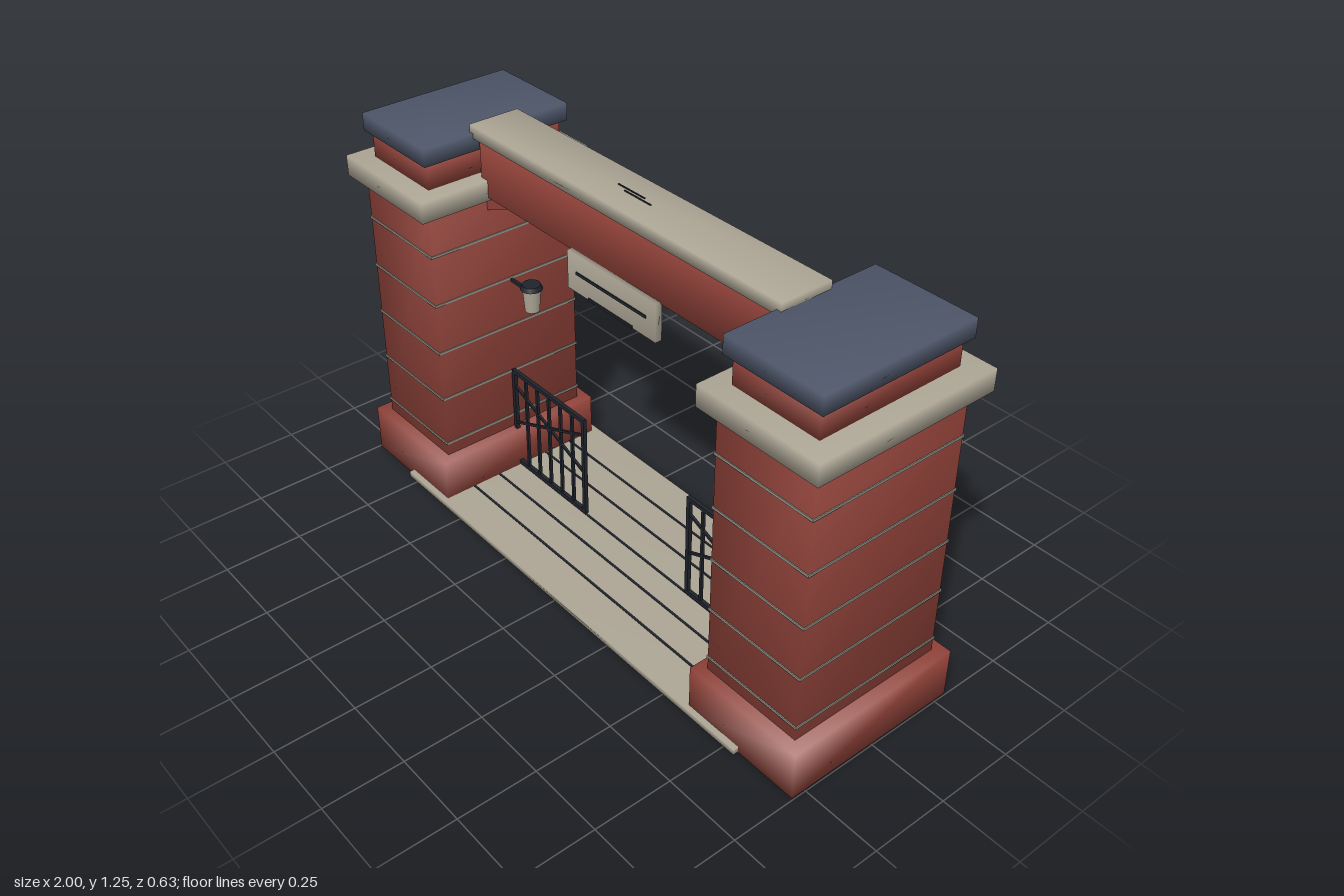
import * as THREE from 'three';
import { mergeVertices } from 'three/addons/utils/BufferGeometryUtils.js';

const mat = (name, color) => {
  const m = new THREE.MeshStandardMaterial({ color });
  m.name = name;
  return m;
};

export function createModel() {
  const root = new THREE.Group();
  root.name = 'gateway';
  const brick = mat('brick red', 0x8f4138);
  const stone = mat('warm stone', 0xaba494);
  const slate = mat('slate blue', 0x4c5467);
  const iron = mat('black iron', 0x1f232b);
  const mortar = mat('mortar grey', 0x92958a);

  // Box with shared corners, so its shading runs softly across the edges
  const softBox = (w, h, d) => {
    const g = new THREE.BoxGeometry(w, h, d);
    g.deleteAttribute('normal');
    g.deleteAttribute('uv');
    const merged = mergeVertices(g);
    merged.computeVertexNormals();
    return merged;
  };
  const add = (parent, name, geometry, material, x = 0, y = 0, z = 0) => {
    const mesh = new THREE.Mesh(geometry, material);
    mesh.name = name;
    mesh.position.set(x, y, z);
    parent.add(mesh);
    return mesh;
  };
  // Block between two heights
  const block = (parent, name, material, x, y0, y1, w, d, z = 0) =>
    add(parent, name, softBox(w, y1 - y0, d), material, x, (y0 + y1) / 2, z);
  // Thin square bar between two points in the xy plane
  const bar = (parent, name, x0, y0, x1, y1, t, z = 0) => {
    const len = Math.hypot(x1 - x0, y1 - y0);
    const mesh = add(parent, name, new THREE.BoxGeometry(len, t, t), iron, (x0 + x1) / 2, (y0 + y1) / 2, z);
    mesh.rotation.z = Math.atan2(y1 - y0, x1 - x0);
    return mesh;
  };

  // Threshold with dark joints between its slabs
  block(root, 'threshold', stone, 0, 0.001, 0.02, 1.58, 0.63, -0.003);
  for (const z of [-0.2, -0.1, 0, 0.09, 0.19])
    add(root, 'thresholdJoint', new THREE.BoxGeometry(1.56, 0.003, 0.008), iron, 0, 0.02, z);

  // Beam and coping over the opening
  block(root, 'beam', brick, 0, 1.03, 1.21, 1.24, 0.14);
  block(root, 'coping', stone, 0, 1.21, 1.25, 1.29, 0.17);
  add(root, 'copingGroove', new THREE.BoxGeometry(0.11, 0.003, 0.004), iron, -0.022, 1.251, -0.007);
  add(root, 'copingGroove', new THREE.BoxGeometry(0.11, 0.003, 0.004), iron, 0.018, 1.251, 0.005);

  // Hanging sign with two plain dark strips
  block(root, 'signBoard', stone, 0, 0.915, 1.035, 0.38, 0.022, 0.075);
  add(root, 'signStrip', new THREE.BoxGeometry(0.3, 0.009, 0.004), iron, 0, 0.978, 0.087);
  add(root, 'signFoot', new THREE.BoxGeometry(0.19, 0.008, 0.004), iron, 0, 0.919, 0.087);

  for (const s of [-1, 1]) {
    const side = s > 0 ? 'left' : 'right';

    // Pillar, stacked from the ground
    const pillar = new THREE.Group();
    pillar.name = side + 'Pillar';
    root.add(pillar);
    block(pillar, 'plinth', brick, s * 0.793, 0, 0.16, 0.405, 0.59);
    block(pillar, 'shaft', brick, s * 0.79, 0.16, 1.02, 0.335, 0.52);
    block(pillar, 'collar', stone, s * 0.795, 1.02, 1.086, 0.41, 0.6);
    block(pillar, 'neck', brick, s * 0.792, 1.086, 1.17, 0.29, 0.475);
    block(pillar, 'cap', slate, s * 0.793, 1.17, 1.226, 0.328, 0.51);
    for (const y of [0.205, 0.375, 0.545, 0.714, 0.882])
      add(pillar, 'mortarCourse', new THREE.BoxGeometry(0.341, 0.007, 0.526), mortar, s * 0.79, y, 0);

    // Slanted bracket under the beam end
    const profile = new THREE.Shape([
      new THREE.Vector2(s * 0.65, 0.96), new THREE.Vector2(s * 0.48, 1.032),
      new THREE.Vector2(s * 0.615, 1.13), new THREE.Vector2(s * 0.65, 1.095),
    ]);
    add(root, side + 'Bracket', new THREE.ExtrudeGeometry(profile, { depth: 0.11, bevelEnabled: false }),
      brick, 0, 0, -0.055);

    // Iron gate: rails, uprights and crossed braces
    const gate = new THREE.Group();
    gate.name = side + 'Gate';
    root.add(gate);
    const outer = s * 0.605, inner = s * 0.246;
    for (const y of [0.032, 0.382]) bar(gate, 'rail', s * 0.611, y, s * 0.24, y, 0.013);
    for (let i = 0; i < 7; i++) {
      const x = outer + (inner - outer) * i / 6;
      bar(gate, 'upright', x, 0.026, x, 0.388, i % 6 ? 0.009 : 0.013);
    }
    bar(gate, 'brace', outer, 0.182, inner, 0.328, 0.008);
    bar(gate, 'brace', outer, 0.328, inner, 0.182, 0.008);

    // Lantern on a short arm
    const lantern = new THREE.Group();
    lantern.name = side + 'Lantern';
    root.add(lantern);
    bar(lantern, 'arm', s * 0.595, 0.725, s * 0.5, 0.725, 0.01);
    add(lantern, 'lamp', new THREE.CylinderGeometry(0.029, 0.023, 0.077, 16), stone, s * 0.491, 0.703, 0);
    add(lantern, 'lampCap', new THREE.CylinderGeometry(0.029, 0.035, 0.015, 16), iron, s * 0.491, 0.748, 0);
  }
  return root;
}
